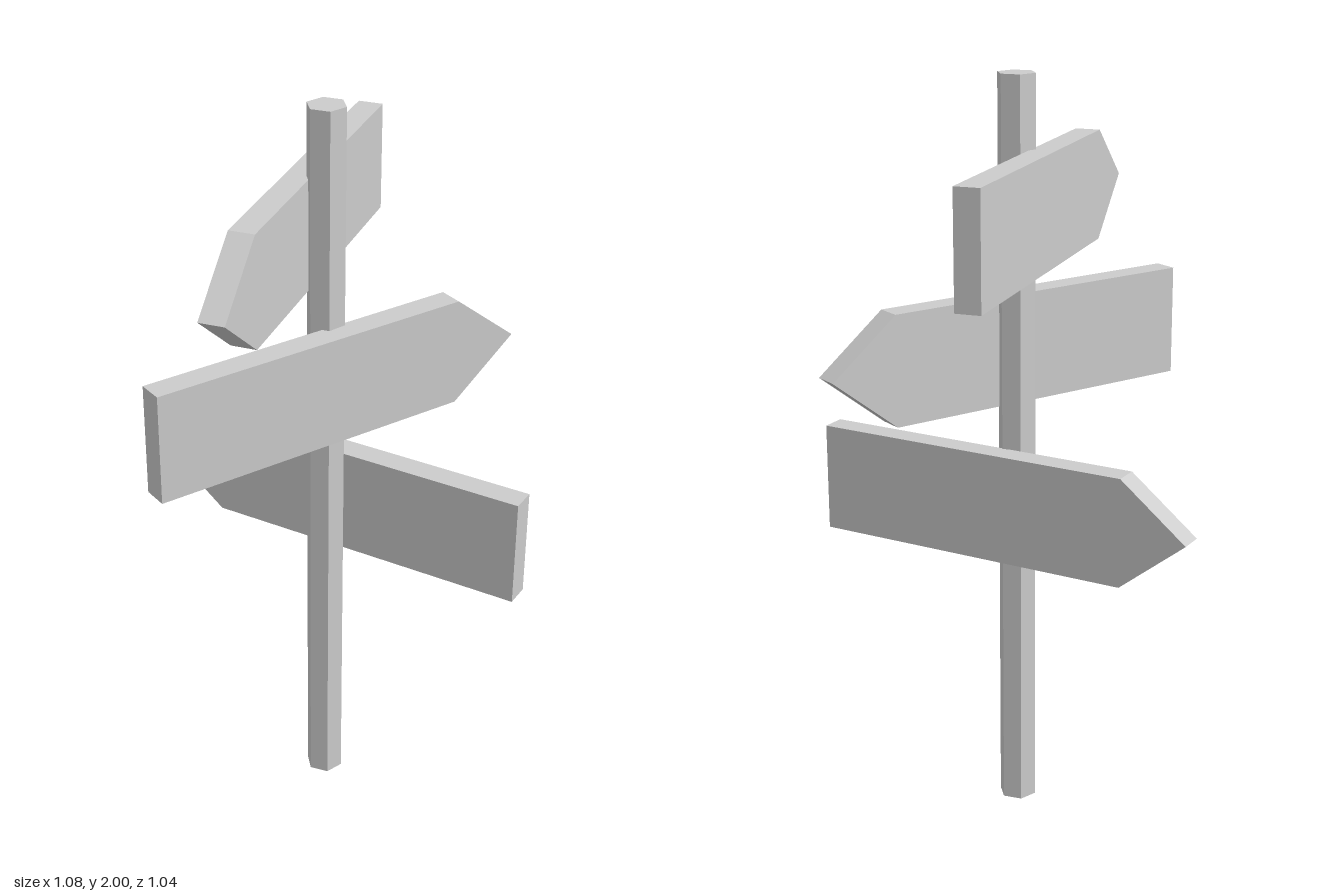
import * as THREE from 'three';

const LENGTH = 1.083, HEIGHT = 0.295, THICKNESS = 0.067, TIP = 0.185;

export function createModel() {
  const model = new THREE.Group();
  model.name = 'signpost';
  const material = new THREE.MeshStandardMaterial({ color: 0xcccccc, flatShading: true });

  // Hexagonal post with corners pointing along x
  const post = new THREE.Mesh(new THREE.CylinderGeometry(0.051, 0.051, 2, 6), material);
  post.geometry.rotateY(Math.PI / 6);
  post.position.set(0.012, 1, 0.029);
  post.name = 'post';
  model.add(post);

  // Arrow board outline, pointing along +x
  const l = LENGTH / 2, h = HEIGHT / 2;
  const outline = new THREE.Shape([
    [-l, -h], [l - TIP, -h], [l, 0], [l - TIP, h], [-l, h],
  ].map(([x, y]) => new THREE.Vector2(x, y)));
  const board = new THREE.ExtrudeGeometry(outline, { depth: THICKNESS, bevelEnabled: false });
  board.translate(0, 0, -THICKNESS / 2);

  // Three boards fixed round the post, each turned its own way
  const boards = [
    ['topArrowBoard', -0.028, 1.663, -0.032, 210],
    ['middleArrowBoard', -0.001, 1.278, 0.092, -5],
    ['bottomArrowBoard', 0.083, 0.878, -0.001, 110],
  ];
  for (const [name, x, y, z, degrees] of boards) {
    const mesh = new THREE.Mesh(board, material);
    mesh.name = name;
    mesh.position.set(x, y, z);
    mesh.rotation.y = THREE.MathUtils.degToRad(degrees);
    model.add(mesh);
  }
  return model;
}
